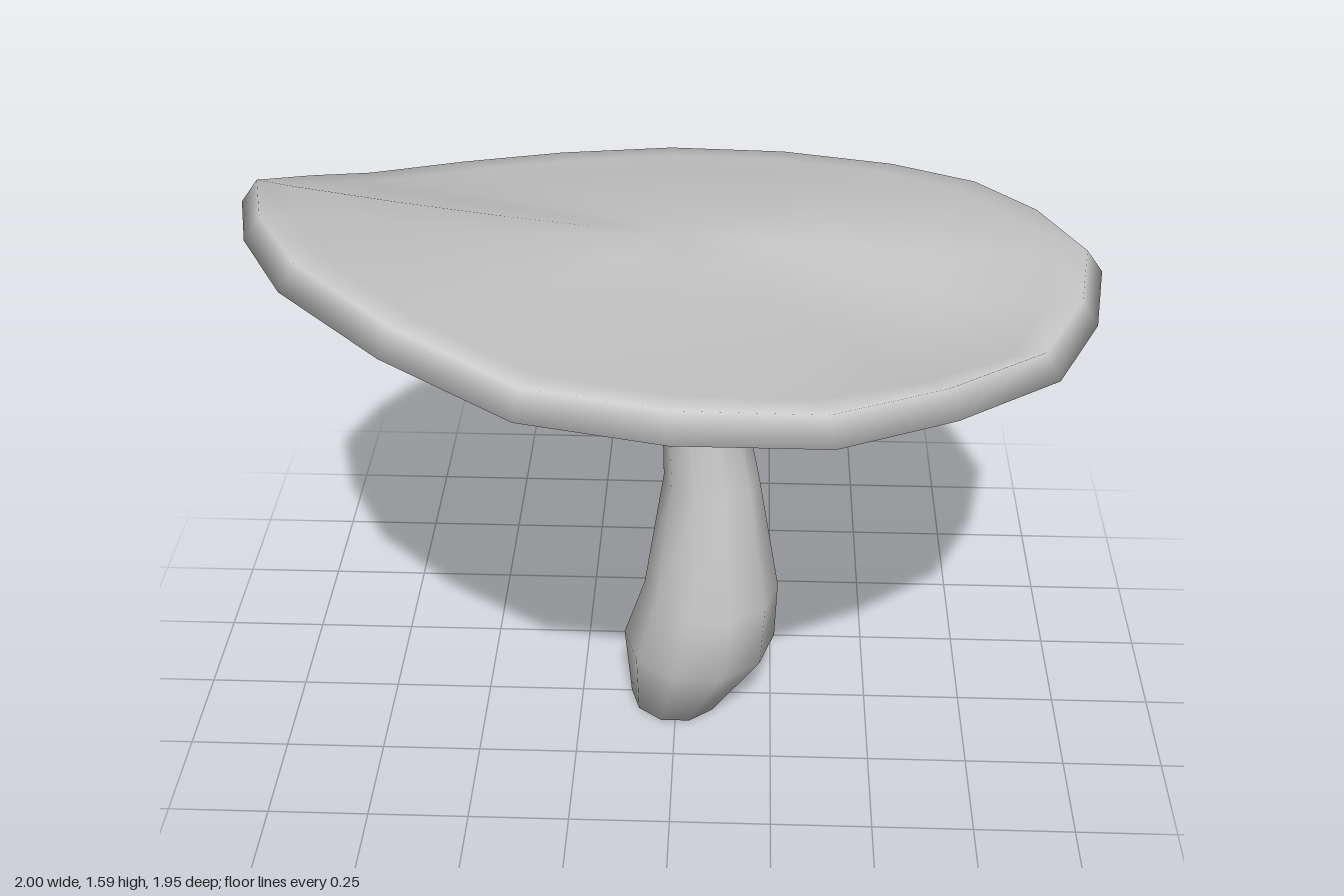
import * as THREE from 'three';

// Smooth skin over rings listed from bottom to top, closed at both ends by a centre point.
// Points in a ring run clockwise seen from above (+x towards +z).
function loft(rings, bottom, top) {
  const n = rings[0].length;
  const pts = [...rings.flat(), bottom, top];
  const b = rings.length * n, t = b + 1, last = b - n;
  const index = [];
  for (let i = 0; i < n; i++) {
    const j = (i + 1) % n;
    for (let r = 0; r < rings.length - 1; r++) {
      const lo = r * n, hi = lo + n;
      index.push(lo + i, hi + i, lo + j, lo + j, hi + i, hi + j);
    }
    index.push(b, i, j, t, last + j, last + i);
  }
  const g = new THREE.BufferGeometry();
  g.setAttribute('position', new THREE.Float32BufferAttribute(pts.flat(), 3));
  g.setIndex(index);
  g.computeVertexNormals();
  return g;
}

// Warped outline of the cap: x, height, z
const RIM = [
  [-0.05, 1.10, -0.975], [0.27, 1.10, -0.96], [0.57, 1.14, -0.80], [0.78, 1.175, -0.62],
  [0.91, 1.23, -0.34], [0.995, 1.27, -0.04], [0.94, 1.30, 0.27], [0.82, 1.33, 0.56],
  [0.59, 1.36, 0.77], [0.34, 1.39, 0.93], [0.02, 1.42, 0.975], [-0.28, 1.45, 0.95],
  [-0.56, 1.49, 0.79], [-0.79, 1.53, 0.60], [-0.93, 1.49, 0.30], [-1.00, 1.445, 0.02],
  [-0.94, 1.315, -0.29], [-0.84, 1.205, -0.55], [-0.62, 1.145, -0.76], [-0.36, 1.10, -0.93],
];

// Stem sections: y, x min, x max, z min, z max
const STEM = [
  [0.00, -0.12, 0.12, -0.13, 0.125],
  [0.22, -0.135, 0.255, -0.175, 0.225],
  [0.40, -0.08, 0.26, -0.125, 0.22],
  [0.73, -0.03, 0.205, -0.075, 0.165],
  [0.98, -0.035, 0.155, -0.07, 0.13],
  [1.28, -0.13, 0.15, -0.14, 0.14],
];

// Shallow hollow in the upper face, towards the front left
const hollow = (x, z) => 0.06 * Math.exp(-((x - 0.55) ** 2 + (z - 0.3) ** 2) / 0.1);

function capGeometry() {
  const under = 1.24, over = 1.37;
  // Ring at a fraction of the outline, its height blended towards the centre
  const ring = (scale, offset, centre, blend) => RIM.map(([x, y, z]) =>
    [x * scale, centre + (y + offset - centre) * blend, z * scale]);
  const topRing = (scale, blend) => ring(scale, 0.05, over, blend).map(([x, y, z]) =>
    [x, y - hollow(x, z), z]);
  return loft([
    ring(0.45, -0.035, under, 0.38),
    ring(0.92, -0.035, under, 1),
    ring(1.0, 0.0, under, 1),
    ring(0.96, 0.055, over, 1),
    topRing(0.88, 0.92),
    topRing(0.65, 0.62),
    topRing(0.4, 0.34),
    topRing(0.2, 0.15),
  ], [0, under, 0], [0, over, 0]);
}

function stemGeometry(sides = 10) {
  const rings = STEM.map(([y, x0, x1, z0, z1]) =>
    Array.from({ length: sides }, (_, i) => {
      const a = (i / sides) * Math.PI * 2;
      return [(x0 + x1) / 2 + Math.cos(a) * (x1 - x0) / 2, y,
        (z0 + z1) / 2 + Math.sin(a) * (z1 - z0) / 2];
    }));
  return loft(rings, [0, 0, 0], [0.01, 1.28, 0]);
}

export function createModel() {
  const group = new THREE.Group();
  group.name = 'mushroom';
  const material = new THREE.MeshStandardMaterial({ color: 0xcccccc });
  for (const [name, geometry] of [['cap', capGeometry()], ['stem', stemGeometry()]]) {
    const mesh = new THREE.Mesh(geometry, material);
    mesh.name = name;
    group.add(mesh);
  }
  return group;
}
